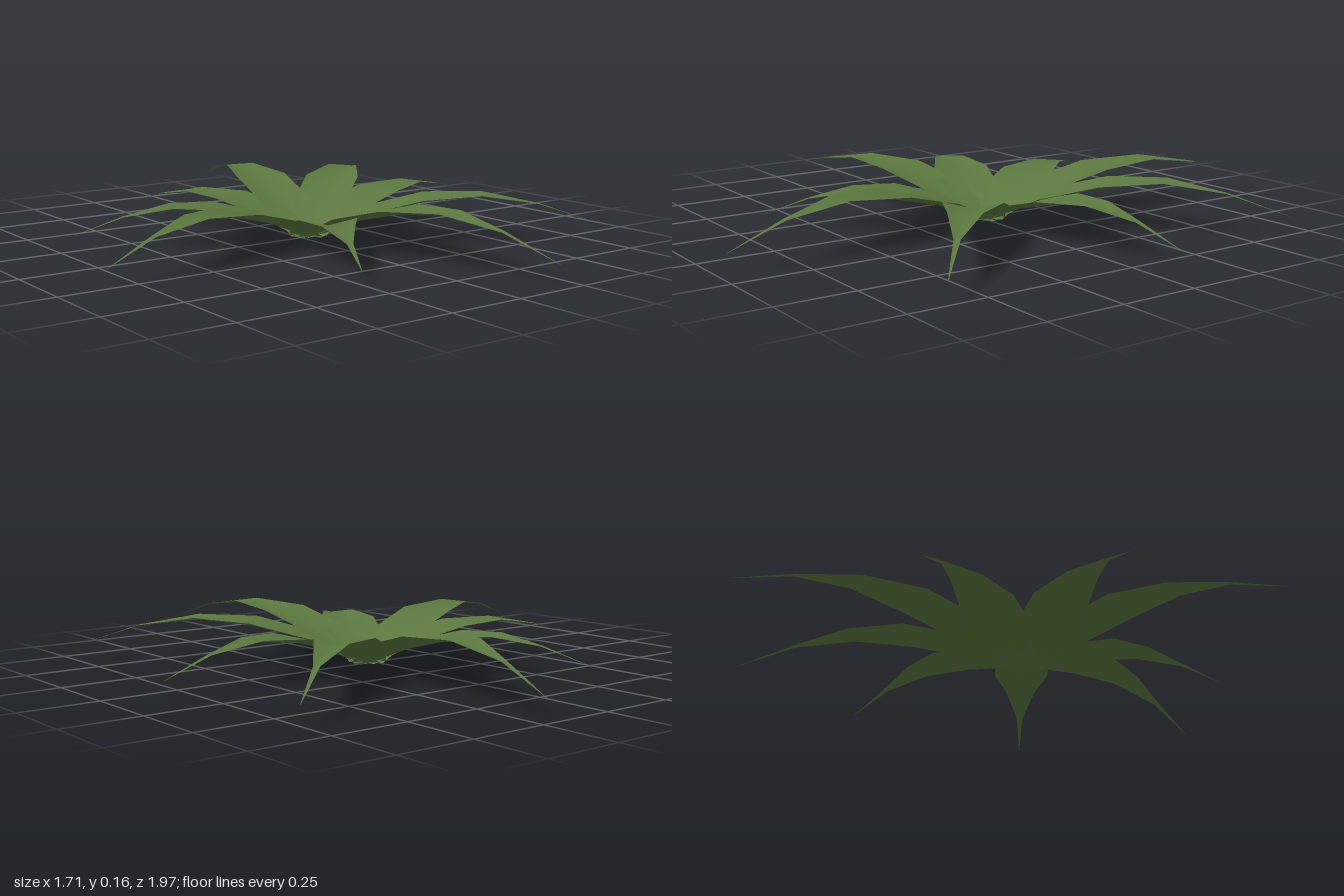
import * as THREE from 'three';

// Where the leaves meet, and the ground position of every leaf tip [x, z]
const CENTRE = [0.03, 0];
const TIPS = [
  [0.175, 0.98], [0.74, 0.62], [0.85, -0.1], [0.765, -0.64], [0.23, -0.99],
  [-0.29, -0.675], [-0.7, -0.25], [-0.855, 0.265], [-0.27, 0.655],
];

// Leaf cross-sections: [fraction of length, half width, midrib height, edge lift]
const SECTIONS = [
  [0, 0.062, 0.0, 0.006],
  [0.2, 0.092, 0.078, 0.02],
  [0.4, 0.094, 0.13, 0.02],
  [0.6, 0.052, 0.152, 0.011],
  [0.8, 0.01, 0.129, 0.002],
  [1, 0.0008, 0.066, 0],
];

// One arching leaf along +z, folded in a shallow V about its midrib
function leafGeometry(length) {
  const positions = [];
  const index = [];
  SECTIONS.forEach(([t, half, height, lift], i) => {
    for (const side of [-1, 0, 1]) {
      positions.push(side * half, height * length + Math.abs(side) * lift, t * length);
    }
    if (i === SECTIONS.length - 1) return;
    for (let j = 0; j < 2; j++) {
      const a = i * 3 + j;
      index.push(a, a + 3, a + 1, a + 1, a + 3, a + 4);
    }
  });
  const geometry = new THREE.BufferGeometry();
  geometry.setAttribute('position', new THREE.Float32BufferAttribute(positions, 3));
  geometry.setIndex(index);
  geometry.computeVertexNormals();
  return geometry;
}

export function createModel() {
  const group = new THREE.Group();
  group.name = 'rosettePlant';
  const leafGreen = new THREE.MeshStandardMaterial({ color: 0x5c783f, side: THREE.DoubleSide });
  leafGreen.name = 'leafGreen';

  // Nine leaves of differing length around the centre
  TIPS.forEach(([x, z], i) => {
    const dx = x - CENTRE[0];
    const dz = z - CENTRE[1];
    const leaf = new THREE.Mesh(leafGeometry(Math.hypot(dx, dz)), leafGreen);
    leaf.name = `leaf${i + 1}`;
    leaf.position.set(CENTRE[0], 0, CENTRE[1]);
    leaf.rotation.y = Math.atan2(dx, dz);
    group.add(leaf);
  });
  return group;
}
